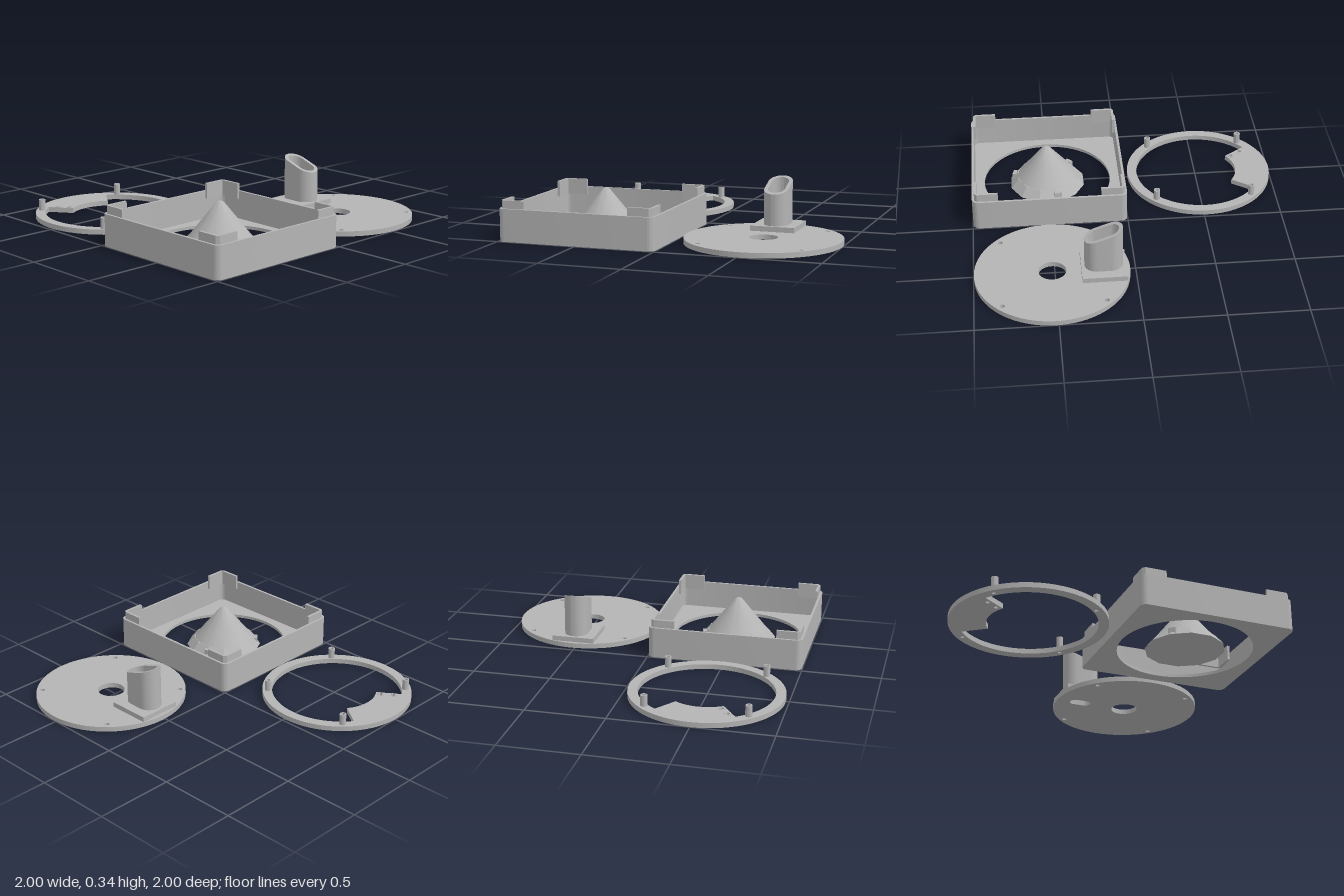
import * as THREE from 'three';
import { toCreasedNormals } from 'three/addons/utils/BufferGeometryUtils.js';

const grey = new THREE.MeshStandardMaterial({ color: 0xb4b4b4 });
grey.name = 'greyPlastic';

function add(parent, name, geometry, x = 0, y = 0, z = 0) {
  const mesh = new THREE.Mesh(geometry, grey);
  mesh.name = name;
  mesh.position.set(x, y, z);
  parent.add(mesh);
  return mesh;
}

// Upright slab from a plan outline; outline y points to the back (-z)
function slab(shape, height) {
  const g = new THREE.ExtrudeGeometry(shape, { depth: height, bevelEnabled: false, curveSegments: 48 });
  g.rotateX(-Math.PI / 2);
  return toCreasedNormals(g, 0.6);
}

const circle = (r, x = 0, y = 0, path = new THREE.Shape()) => path.absarc(x, y, r, 0, Math.PI * 2);

function polygon(r, sides) {
  const pts = [];
  for (let i = 0; i < sides; i++) {
    const a = (i / sides) * Math.PI * 2;
    pts.push(new THREE.Vector2(r * Math.cos(a), r * Math.sin(a)));
  }
  return new THREE.Shape(pts);
}

function roundedSquare(half, r) {
  const s = new THREE.Shape(), k = half - r;
  s.absarc(k, k, r, 0, Math.PI / 2);
  s.absarc(-k, k, r, Math.PI / 2, Math.PI);
  s.absarc(-k, -k, r, Math.PI, Math.PI * 1.5);
  s.absarc(k, -k, r, Math.PI * 1.5, Math.PI * 2);
  s.closePath();
  return s;
}

// Long round-ended slot, running front to back
function stadium(r, halfLength, y = 0) {
  const s = new THREE.Shape(), k = halfLength - r;
  s.absarc(0, y + k, r, 0, Math.PI);
  s.absarc(0, y - k, r, Math.PI, Math.PI * 2);
  s.closePath();
  return s;
}

function corners(d, fn) {
  for (const sx of [-1, 1]) for (const sz of [-1, 1]) fn(sx * d, sz * d, sx, sz);
}

function makeHousing() {
  const g = new THREE.Group();
  g.name = 'squareHousing';
  // Floor with the large round opening
  const floor = roundedSquare(0.497, 0.04);
  floor.holes.push(circle(0.42));
  add(g, 'housingFloor', slab(floor, 0.02));
  // Thin outer wall
  const wall = roundedSquare(0.497, 0.04);
  wall.holes.push(roundedSquare(0.481, 0.03));
  add(g, 'housingWall', slab(wall, 0.2));
  // L-shaped locating tabs rising inside the corners
  corners(1, (x, z, sx, sz) => {
    const pts = [[0.33, 0.482], [0.33, 0.465], [0.465, 0.465], [0.465, 0.33], [0.482, 0.33], [0.482, 0.465], [0.465, 0.482]];
    const tab = new THREE.Shape(pts.map(([px, py]) => new THREE.Vector2(px * sx, py * -sz)));
    add(g, 'cornerTab', slab(tab, 0.1), 0, 0.15, 0);
  });
  g.position.set(-0.5, 0, 0.5);
  return g;
}

function makeCone() {
  const g = new THREE.Group();
  g.name = 'centreCone';
  // Faceted skirt under a smooth cone with a rounded tip
  const skirt = new THREE.CylinderGeometry(0.2, 0.25, 0.06, 12, 1, false, Math.PI / 12).toNonIndexed();
  skirt.computeVertexNormals();
  add(g, 'coneSkirt', skirt, 0, 0.03, 0);
  const profile = [[0.232, 0.01], [0.08, 0.2], [0.024, 0.27], [0.012, 0.278], [0, 0.28]];
  const cone = new THREE.LatheGeometry(profile.map(([r, y]) => new THREE.Vector2(r, y)), 64);
  add(g, 'coneBody', toCreasedNormals(cone, 0.6));
  // Three small lugs near the rim
  for (let i = 0; i < 3; i++) {
    const a = -0.28 + (i * Math.PI * 2) / 3;
    const lug = add(g, 'coneLug', new THREE.BoxGeometry(0.025, 0.05, 0.048), 0.22 * Math.cos(a), 0.026, 0.22 * Math.sin(a));
    lug.rotation.y = -a;
  }
  g.position.set(-0.5, 0, 0.5);
  return g;
}

function makeRing() {
  const g = new THREE.Group();
  g.name = 'mountingRing';
  const a0 = Math.PI * 55 / 180, a1 = Math.PI * 125 / 180;
  const nuts = [[-0.19, 0.312], [-0.144, 0.246]];
  // Flat ring whose back part is widened into a sector
  const ring = circle(0.48);
  const opening = new THREE.Path();
  opening.absarc(0, 0, 0.418, a1, a0 + Math.PI * 2);
  opening.absarc(0, 0, 0.253, a0, a1);
  opening.closePath();
  ring.holes.push(opening);
  corners(0.313, (x, y) => ring.holes.push(circle(0.012, x, y)));
  nuts.forEach(([x, y]) => ring.holes.push(circle(0.013, x, y)));
  add(g, 'ringPlate', slab(ring, 0.032));
  // Hollow posts
  const post = circle(0.021);
  post.holes.push(circle(0.012));
  const postGeometry = slab(post, 0.07);
  corners(0.313, (x, z) => add(g, 'hollowPost', postGeometry, x, 0.031, z));
  // Low hexagonal bosses at the sector edge
  const hex = polygon(0.025, 6);
  hex.holes.push(circle(0.013));
  const hexGeometry = slab(hex, 0.032);
  nuts.forEach(([x, y]) => add(g, 'hexBoss', hexGeometry, x, 0.002, -y));
  g.position.set(-0.5, 0, -0.52);
  return g;
}

function makeLid() {
  const g = new THREE.Group();
  g.name = 'roundLid';
  const slotY = 0.317;
  // Disc with centre hole, screw holes and outlet slot
  const disc = circle(0.48);
  disc.holes.push(circle(0.086), stadium(0.038, 0.071, slotY));
  corners(0.313, (x, y) => disc.holes.push(circle(0.015, x, y)));
  add(g, 'lidDisc', slab(disc, 0.032));
  // Square pad under the spout
  const pad = new THREE.Shape([[-0.139, -0.139], [0.139, -0.139], [0.139, 0.139], [-0.139, 0.139]].map(([x, y]) => new THREE.Vector2(x, y)));
  pad.holes.push(stadium(0.038, 0.071));
  add(g, 'spoutPad', slab(pad, 0.034), 0, 0.03, -slotY);
  // Oval spout, top cut at a slant rising to the back
  const oval = stadium(0.076, 0.119);
  oval.holes.push(stadium(0.053, 0.096));
  const spout = slab(oval, 0.2);
  const p = spout.attributes.position;
  for (let i = 0; i < p.count; i++) {
    if (p.getY(i) > 0.1) p.setY(i, 0.24 - p.getZ(i) * 0.36);
  }
  const plain = spout.index ? spout.toNonIndexed() : spout;
  add(g, 'slantedSpout', toCreasedNormals(plain, 0.5), 0, 0.062, -slotY);
  g.position.set(0.52, 0, 0.517);
  return g;
}

export function createModel() {
  const model = new THREE.Group();
  model.name = 'housingKit';
  model.add(makeHousing(), makeCone(), makeRing(), makeLid());
  return model;
}
